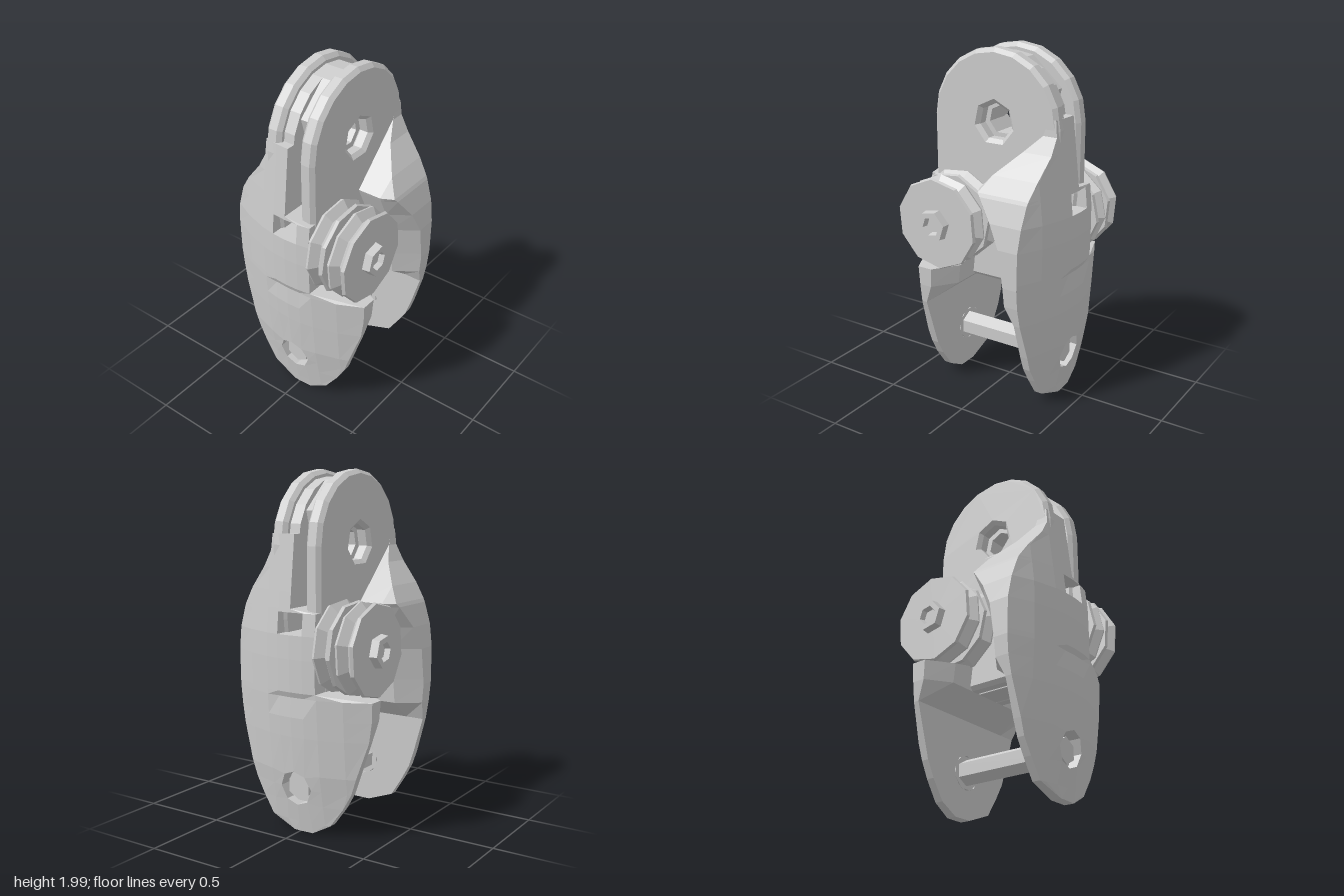
import * as THREE from 'three';

const mat = new THREE.MeshStandardMaterial({ color: 0xcccccc, flatShading: true });

function add(group, name, geometry) {
  const mesh = new THREE.Mesh(geometry, mat);
  mesh.name = name;
  group.add(mesh);
  return mesh;
}

// Linear interpolation through [key, value] pairs
function lerpTable(table, t) {
  if (t <= table[0][0]) return table[0][1];
  for (let i = 1; i < table.length; i++) {
    const [a, va] = table[i - 1], [b, vb] = table[i];
    if (t <= b) return va + (vb - va) * (t - a) / (b - a);
  }
  return table[table.length - 1][1];
}

// Shell rows: height, left edge, right edge
const ROWS = [
  [0.01, -0.04, 0.08], [0.07, -0.2, 0.19], [0.18, -0.27, 0.27], [0.27, -0.32, 0.32],
  [0.36, -0.35, 0.35], [0.57, -0.41, 0.42], [0.68, -0.43, 0.435], [0.79, -0.44, 0.44],
  [0.82, -0.44, 0.155], [1.0, -0.44, 0.155], [1.13, -0.42, 0.155], [1.25, -0.38, 0.155],
  [1.27, -0.37, 0], [1.36, -0.31, 0], [1.48, -0.21, 0], [1.57, -0.16, 0], [1.66, -0.155, 0],
];
const COLS = [-0.44, -0.3, -0.16, -0.08, 0, 0.08, 0.16, 0.3, 0.44];
const FRONT = [[0, 0.36], [0.2, 0.395], [0.4, 0.43], [0.8, 0.455], [1.1, 0.46], [1.3, 0.44], [1.66, 0.4]];
const BACK = [[0, 0.3], [0.57, 0.29], [0.68, 0.15], [0.85, 0.13], [1.05, 0.1], [1.2, 0.03],
  [1.27, 0.0], [1.57, 0.31], [1.66, 0.34]];

// Domed outer shell with a thick shoulder, a cord slot and a bolt recess
function shellGeometry() {
  const corner = (i, j) => {
    let [y, lo, hi] = ROWS[j];
    let x = THREE.MathUtils.clamp(COLS[i], lo, hi);
    // round the recess into an octagon
    const dx = x, dy = y - 0.27, r = Math.hypot(dx, dy);
    if (r > 0.01 && r < 0.13) { x = dx / r * 0.1; y = 0.27 + dy / r * 0.1; }
    const edge = Math.abs(x) / 0.44;
    const dent = Math.abs(y - 0.79) < 0.02 && Math.abs(x) < 0.1 ? 0.012 : 0;
    const front = lerpTable(FRONT, y) - 0.13 * edge * edge - dent;
    let back = lerpTable(BACK, y);
    if (y > 0.6) back += 0.1 * Math.max(0, (edge - 0.75) / 0.25);
    return { f: [x, y, front], b: [x, y, Math.min(back, front - 0.03)] };
  };
  const clampX = (i, j) => THREE.MathUtils.clamp(COLS[i], ROWS[j][1], ROWS[j][2]);
  const solid = (i, j) => {
    if (i < 0 || j < 0 || i >= COLS.length - 1 || j >= ROWS.length - 1) return false;
    const middle = i === 3 || i === 4;
    if (middle && (j === 2 || j === 3 || j === 10)) return false;
    return clampX(i, j) < clampX(i + 1, j) || clampX(i, j + 1) < clampX(i + 1, j + 1);
  };
  const pos = [];
  const quad = (a, b, c, d) => pos.push(...a, ...b, ...c, ...a, ...c, ...d);
  for (let j = 0; j < ROWS.length - 1; j++) {
    for (let i = 0; i < COLS.length - 1; i++) {
      if (!solid(i, j)) continue;
      const c = [corner(i, j), corner(i + 1, j), corner(i + 1, j + 1), corner(i, j + 1)];
      quad(c[0].f, c[1].f, c[2].f, c[3].f);
      quad(c[3].b, c[2].b, c[1].b, c[0].b);
      // walls along outer edges and openings
      [[0, -1], [1, 0], [0, 1], [-1, 0]].forEach(([di, dj], k) => {
        if (solid(i + di, j + dj)) return;
        const p = c[k], q = c[(k + 1) % 4];
        quad(p.f, p.b, q.b, q.f);
      });
    }
  }
  const g = new THREE.BufferGeometry();
  g.setAttribute('position', new THREE.Float32BufferAttribute(pos, 3));
  g.computeVertexNormals();
  return g;
}

// Slab cut from a side outline of [z, y] points, running from x0 to x1
function slab(points, x0, x1, bevel = 0, hole = true) {
  const shape = new THREE.Shape(points.map(([z, y]) => new THREE.Vector2(-z, y)));
  if (hole) {
    const ring = [];
    for (let k = 0; k < 7; k++) {
      const a = k / 7 * Math.PI * 2 + Math.PI / 2;
      ring.push(new THREE.Vector2(Math.cos(a) * (0.083 + bevel), 1.6 + Math.sin(a) * (0.083 + bevel)));
    }
    shape.holes.push(new THREE.Path(ring));
  }
  const g = new THREE.ExtrudeGeometry(shape, {
    depth: x1 - x0 - 2 * bevel, bevelEnabled: bevel > 0, bevelThickness: bevel,
    bevelSize: bevel, bevelOffset: -bevel, bevelSegments: 1,
  });
  return g.rotateY(Math.PI / 2).translate(x0 + bevel, 0, 0);
}

// Rounded crown as [z, y] points running from front to back
function crown(r, steps = 10) {
  return Array.from({ length: steps + 1 }, (_, k) => {
    const a = k / steps * Math.PI;
    return [Math.cos(a) * r, 1.6 + Math.sin(a) * r];
  });
}

// Lathe turned about the x axis, from [x, radius] points
function turned(profile, sides, phase) {
  const pts = profile.map(([x, r]) => new THREE.Vector2(r, x));
  return new THREE.LatheGeometry(pts, sides, phase).rotateZ(-Math.PI / 2);
}

function grooved(x0, x1) {
  const w = x1 - x0;
  return [[x0, 0], [x0, 0.255], [x0 + w * 0.15, 0.262], [x0 + w * 0.5, 0.215],
    [x0 + w * 0.85, 0.262], [x1, 0.255], [x1, 0]];
}

function buildHalf() {
  const half = new THREE.Group();
  add(half, 'shell', shellGeometry());

  // Head: outer cheek, then a recessed middle split by the cord slot
  add(half, 'headCheek', slab([...crown(0.4), [-0.4, 1.2], [-0.36, 0.8], [-0.22, 0.68],
    [0.22, 0.68], [0.36, 0.8], [0.4, 1.2]], 0.065, 0.158, 0.022));
  add(half, 'headGroove', slab([[0.24, 1.25], [0.24, 1.6], [0.29, 1.78],
    ...crown(0.36).slice(4), [-0.38, 1.25]], 0, 0.075));
  add(half, 'headWeb', slab([[0.38, 1.13], [-0.38, 1.13], [-0.36, 0.8], [-0.22, 0.68],
    [0.22, 0.68], [0.36, 0.8]], 0, 0.075, 0, false));

  // Side roller: two grooved wheels on one axle with an end nut
  const roller = new THREE.Group();
  roller.name = 'roller';
  roller.position.set(0, 1.05, 0.22);
  half.add(roller);
  add(roller, 'innerWheel', turned(grooved(0.16, 0.27), 10, 0.1));
  add(roller, 'outerWheel', turned(grooved(0.3, 0.41), 10, 0.4));
  add(roller, 'axle', turned([[0.1, 0], [0.1, 0.17], [0.32, 0.17], [0.32, 0]], 8, 0));
  add(roller, 'nut', turned([[0.4, 0], [0.4, 0.095], [0.455, 0.088], [0.455, 0.055],
    [0.425, 0.045], [0.425, 0]], 6, 0.2));

  // Collar where the cross bar enters the shell
  const collar = new THREE.CylinderGeometry(0.1, 0.1, 0.04, 8).rotateX(Math.PI / 2);
  collar.rotateZ(Math.PI / 8);
  add(half, 'barCollar', collar).position.set(0, 0.27, 0.315);
  return half;
}

export function createModel() {
  const model = new THREE.Group();
  model.name = 'pulleyBlock';
  // Two identical halves, turned half a circle about the upright axis
  for (let k = 0; k < 2; k++) {
    const half = buildHalf();
    half.name = k === 0 ? 'frontHalf' : 'backHalf';
    half.rotation.y = k * Math.PI;
    model.add(half);
  }
  const bar = new THREE.CylinderGeometry(0.075, 0.075, 0.75, 6).rotateX(Math.PI / 2);
  add(model, 'crossBar', bar).position.set(0, 0.27, 0);
  return model;
}
